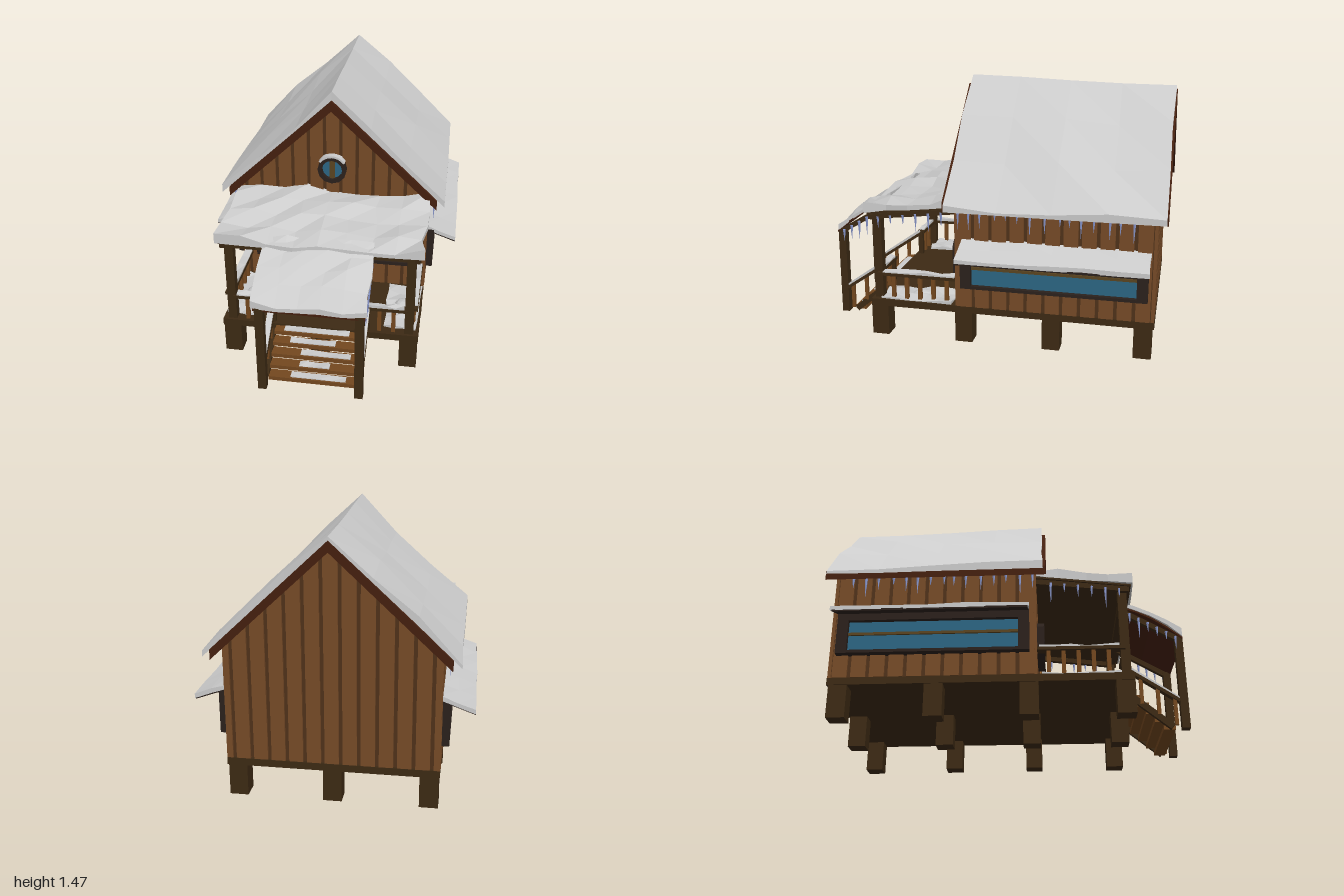
import * as THREE from 'three';

const C = { wall: 0x774b27, groove: 0x50321a, dark: 0x3d2a14, fascia: 0x45200f, frame: 0x2b211c, glass: 0x2c6684,
  rail: 0x74481f, door: 0xab6f35, panel: 0x5b4420, brass: 0xd0a030, ice: 0x8c9ad0, snow: 0xcccccc };
const mats = {};
for (const k in C) mats[k] = new THREE.MeshStandardMaterial({ color: C[k], flatShading: true });

// repeatable pseudo-random value for a position
const rnd = (a, b = 0) => {
  const s = Math.sin(Math.round(a * 1000) * 0.1271 + Math.round(b * 1000) * 0.3117 + 0.7) * 43758.5453;
  return s - Math.floor(s);
};

export function createModel() {
  const model = new THREE.Group();
  model.name = 'snowyCabin';
  const add = (name, geo, mat) => {
    const m = new THREE.Mesh(geo, mats[mat]);
    m.name = name;
    model.add(m);
    return m;
  };
  // box from its min and max on each axis
  const box = (name, mat, x0, x1, y0, y1, z0, z1) => {
    const m = add(name, new THREE.BoxGeometry(Math.abs(x1 - x0), y1 - y0, z1 - z0), mat);
    m.position.set((x0 + x1) / 2, (y0 + y1) / 2, (z0 + z1) / 2);
    return m;
  };
  // straight bar between two points
  const beam = (name, mat, a, b, w, h) => {
    const p = new THREE.Vector3(...a), q = new THREE.Vector3(...b);
    const m = add(name, new THREE.BoxGeometry(w, h, p.distanceTo(q)), mat);
    m.position.copy(p).lerp(q, 0.5);
    m.lookAt(q);
    return m;
  };
  const extrude = (name, mat, shape, z0, z1) => {
    const g = new THREE.ExtrudeGeometry(shape, { depth: z1 - z0, bevelEnabled: false, curveSegments: 6 });
    return add(name, g.translate(0, 0, z0), mat);
  };
  const poly = (pts) => new THREE.Shape(pts.map((p) => new THREE.Vector2(...p)));
  // sheet lying on the height rule h(x, z), with a lumpy top
  const sheet = (name, mat, x0, x1, z0, z1, h, t, bump, nx = 1, nz = 1, shift = 0) => {
    const g = new THREE.BoxGeometry(x1 - x0, 1, z1 - z0, nx, 1, nz);
    g.translate((x0 + x1) / 2, 0, (z0 + z1) / 2);
    const p = g.attributes.position;
    for (let i = 0; i < p.count; i++) {
      const x = p.getX(i), z = p.getZ(i), top = p.getY(i) > 0;
      const y = h(x, z) + (top ? t + bump * rnd(x, z) : 0);
      const edgeX = Math.abs(x) < 0.001 ? 0 : shift;
      p.setXYZ(i, x + edgeX * (rnd(z, x + 3) - 0.5), y, z + shift * (rnd(x + 5, z) - 0.5));
    }
    return add(name, g, mat);
  };
  const icicle = (x, y, z) => {
    const len = 0.04 + 0.1 * rnd(x, z);
    const m = add('icicle', new THREE.ConeGeometry(0.009, len, 5), 'ice');
    m.rotation.x = Math.PI;
    m.position.set(x, y - len / 2, z);
  };

  // stilts and floor
  for (const x of [-0.51, 0, 0.51])
    for (const z of [0.63, 0.125, -0.38, -0.89]) box('stilt', 'dark', x - 0.05, x + 0.05, 0, 0.18, z - 0.05, z + 0.05);
  box('floor', 'dark', -0.565, 0.565, 0.18, 0.22, -0.95, 0.68);

  // house body with raised wall boards
  const gable = (x) => 1.37 - 0.94 * Math.abs(x);
  extrude('houseBody', 'groove', poly([[-0.555, 0.2], [0.555, 0.2], [0.555, gable(0.555)], [0, gable(0)], [-0.555, gable(0.555)]]), -0.935, 0.16);
  for (let i = -6; i <= 6; i++) {
    const a = Math.max(i * 0.095 - 0.0375, -0.565), b = Math.min(i * 0.095 + 0.0375, 0.565);
    const pts = [[a, 0.22], [b, 0.22], [b, gable(b)], [a, gable(a)]];
    if (i === 0) pts.splice(3, 0, [0, gable(0)]);
    extrude('frontBoard', 'wall', poly(pts), 0.155, 0.17);
    extrude('backBoard', 'wall', poly(pts), -0.948, -0.93);
  }
  for (const s of [-1, 1])
    for (let i = 0; i < 11; i++) {
      const z = -0.885 + i * 0.1;
      box('sideBoard', 'wall', s * 0.55, s * 0.568, 0.22, 0.82, z - 0.04, z + 0.04);
    }

  // main roof and its snow
  const roof = (x) => 1.42 - 0.94 * Math.abs(x);
  extrude('roof', 'fascia', poly([[-0.615, roof(0.615)], [-0.615, roof(0.615) - 0.055], [0, 1.362], [0.615, roof(0.615) - 0.055], [0.615, roof(0.615)], [0, 1.42]]), -1, 0.225);
  sheet('roofSnow', 'snow', -0.66, 0.66, -0.99, 0.205, roof, 0.012, 0.04, 6, 4, 0.012);

  // round gable window
  const ring = new THREE.Shape().absarc(0, 0.99, 0.085, 0, Math.PI * 2);
  ring.holes.push(new THREE.Path().absarc(0, 0.99, 0.06, 0, Math.PI * 2, true));
  extrude('roundWindowFrame', 'frame', ring, 0.16, 0.205);
  const pane = add('roundWindowGlass', new THREE.CylinderGeometry(0.065, 0.065, 0.02, 12), 'glass');
  pane.rotation.x = Math.PI / 2;
  pane.position.set(0, 0.99, 0.17);
  box('roundWindowBar', 'panel', -0.015, 0.015, 0.93, 1.05, 0.17, 0.19);
  const cap = new THREE.Shape().absarc(0, 0.99, 0.092, 0.6, Math.PI - 0.6);
  cap.absarc(0, 0.99, 0.08, Math.PI - 0.6, 0.6, true);
  extrude('roundWindowSnow', 'snow', cap, 0.165, 0.21);

  // door
  box('doorFrame', 'groove', -0.105, 0.105, 0.22, 0.57, 0.16, 0.178);
  box('door', 'door', -0.09, 0.09, 0.22, 0.555, 0.165, 0.186);
  for (const x of [-0.047, 0.047])
    for (const y of [0.34, 0.47]) box('doorPanel', 'panel', x - 0.023, x + 0.023, y - 0.05, y + 0.045, 0.17, 0.189);
  box('doorHandle', 'brass', 0.04, 0.085, 0.405, 0.414, 0.186, 0.205);

  for (const s of [-1, 1]) {
    // arched front window
    const arch = poly([[0.2, 0.38], [0.47, 0.38], [0.47, 0.54]]);
    arch.bezierCurveTo(0.42, 0.62, 0.25, 0.62, 0.2, 0.54);
    arch.holes.push(poly([[0.225, 0.4], [0.225, 0.54], [0.45, 0.54], [0.45, 0.4]]));
    const f = extrude('frontWindowFrame', 'frame', arch, 0, 0.045);
    f.position.set(s < 0 ? -0.67 : 0, 0, 0.165);
    box('frontWindowGlass', 'glass', s * 0.22, s * 0.455, 0.39, 0.545, 0.165, 0.18);
    box('frontWindowBar', 'panel', s * 0.22, s * 0.455, 0.462, 0.476, 0.175, 0.192);
    box('frontWindowBar', 'panel', s * 0.33, s * 0.345, 0.39, 0.545, 0.175, 0.192);

    // long side window under an awning
    for (const z of [0.07, -0.91]) box('sideWindowEnd', 'frame', s * 0.54, s * 0.607, 0.35, 0.6, z, z + 0.06);
    box('sideWindowSill', 'frame', s * 0.54, s * 0.607, 0.345, 0.362, -0.91, 0.13);
    box('sideWindowHead', 'frame', s * 0.54, s * 0.607, 0.535, 0.6, -0.91, 0.13);
    box('sideWindowGlass', 'glass', s * 0.55, s * 0.58, 0.36, 0.54, -0.86, 0.08);
    box('sideWindowBar', 'panel', s * 0.57, s * 0.59, 0.455, 0.47, -0.86, 0.08);
    const slope = (x) => 0.6 - 0.36 * (Math.abs(x) - 0.56);
    const span = s < 0 ? [-0.735, -0.55] : [0.55, 0.735];
    sheet('awning', 'frame', ...span, -0.91, 0.125, (x) => slope(x) - 0.008, 0.012, 0);
    sheet('awningSnow', 'snow', ...span, -0.92, 0.13, slope, 0.018, 0.012, 2, 6, 0.008);

    // porch post, rafters and stair post
    box('porchPost', 'dark', s * 0.485, s * 0.535, 0.2, 0.74, 0.615, 0.665);
    box('stairPost', 'dark', s * 0.245, s * 0.292, 0, 0.54, 0.945, 0.99);
    beam('porchRafter', 'dark', [s * 0.54, 0.775, 0.17], [s * 0.54, 0.715, 0.68], 0.03, 0.03);
    beam('stairRafter', 'dark', [s * 0.275, 0.71, 0.66], [s * 0.275, 0.52, 0.98], 0.03, 0.03);

    // porch railings with snow on top
    box('sideRail', 'dark', s * 0.505, s * 0.555, 0.362, 0.38, 0.17, 0.64);
    sheet('sideRailSnow', 'snow', s * 0.53 - 0.022, s * 0.53 + 0.022, 0.18, 0.61, () => 0.38, 0.004, 0.014, 1, 5);
    box('frontRail', 'dark', s * 0.26, s * 0.5, 0.362, 0.38, 0.625, 0.67);
    sheet('frontRailSnow', 'snow', s * 0.38 - 0.1, s * 0.38 + 0.1, 0.63, 0.666, () => 0.38, 0.004, 0.014, 4, 1);
    for (let i = 0; i < 5; i++) box('sideBaluster', 'rail', s * 0.52, s * 0.54, 0.22, 0.365, 0.22 + i * 0.08, 0.242 + i * 0.08);
    for (const x of [0.33, 0.41]) box('frontBaluster', 'rail', s * x, s * (x + 0.022), 0.22, 0.365, 0.637, 0.659);
    box('railPost', 'dark', s * 0.255, s * 0.285, 0.2, 0.375, 0.635, 0.665);

    // stair railing and stringer
    beam('stairRail', 'dark', [s * 0.27, 0.365, 0.645], [s * 0.27, 0.15, 0.96], 0.04, 0.018);
    beam('stairRailSnow', 'snow', [s * 0.27, 0.378, 0.655], [s * 0.27, 0.17, 0.95], 0.034, 0.014);
    beam('stairStringer', 'dark', [s * 0.262, 0.19, 0.69], [s * 0.262, 0.015, 0.9], 0.025, 0.035);
    for (const z of [0.74, 0.83, 0.92]) {
      const y = 0.36 - (z - 0.645) * 0.68;
      box('stairBaluster', 'rail', s * 0.26, s * 0.28, y - 0.15, y, z - 0.01, z + 0.01);
    }

    // icicles along the eaves and the porch roof
    for (let i = 0; i < 15; i++) icicle(s * 0.598, 0.8, 0.13 - i * 0.07 + 0.03 * rnd(i, s));
    for (let i = 0; i < 6; i++) icicle(s * 0.552, 0.765 - i * 0.009, 0.25 + i * 0.075);
    for (let i = 0; i < 6; i++) icicle(s * 0.298, 0.69 - i * 0.03, 0.7 + i * 0.05);

    // snow lying on the porch floor
    const [a, b] = s < 0 ? [-0.55, -0.36] : [0.36, 0.55];
    sheet('floorSnow', 'snow', a, b, 0.2, 0.62, () => 0.215, 0.007, 0.022, 3, 5, 0.02);
    const heap = add('snowHeap', new THREE.IcosahedronGeometry(0.045, 1), 'snow');
    heap.scale.set(1, 0.75, 1.5);
    heap.position.set(s * 0.45, 0.22, 0.4);
  }

  // stair treads
  for (let i = 0; i < 5; i++) {
    const y = 0.197 - i * 0.045, z = 0.7 + i * 0.045;
    box('stairTread', 'rail', -0.25, 0.25, y - 0.012, y + 0.012, z - 0.03, z + 0.035);
    sheet('treadSnow', 'snow', -0.2 + 0.15 * rnd(i), 0.05 + 0.15 * rnd(i, 2), z - 0.02, z + 0.025, () => y + 0.01, 0.003, 0.006, 4, 1);
  }

  // porch roof, front beam and snow
  box('porchBeam', 'dark', -0.56, 0.56, 0.7, 0.73, 0.63, 0.67);
  const porch = (x, z) => 0.79 - 0.12 * (z - 0.2);
  const stair = (x, z) => 0.725 - 0.61 * (z - 0.66) + 0.025 * Math.sin((z - 0.66) * 9.5);
  sheet('porchRoof', 'dark', -0.56, 0.56, 0.165, 0.69, porch, 0.012, 0);
  sheet('porchSnow', 'snow', -0.565, 0.565, 0.17, 0.71, (x, z) => porch(x, z) + 0.012, 0.018, 0.05, 8, 4, 0.03);
  sheet('stairRoof', 'fascia', -0.3, 0.3, 0.66, 0.99, stair, 0.012, 0, 1, 4);
  sheet('stairSnow', 'snow', -0.305, 0.305, 0.64, 0.99, (x, z) => stair(x, z) + 0.012, 0.015, 0.04, 5, 4, 0.016);

  return model;
}
